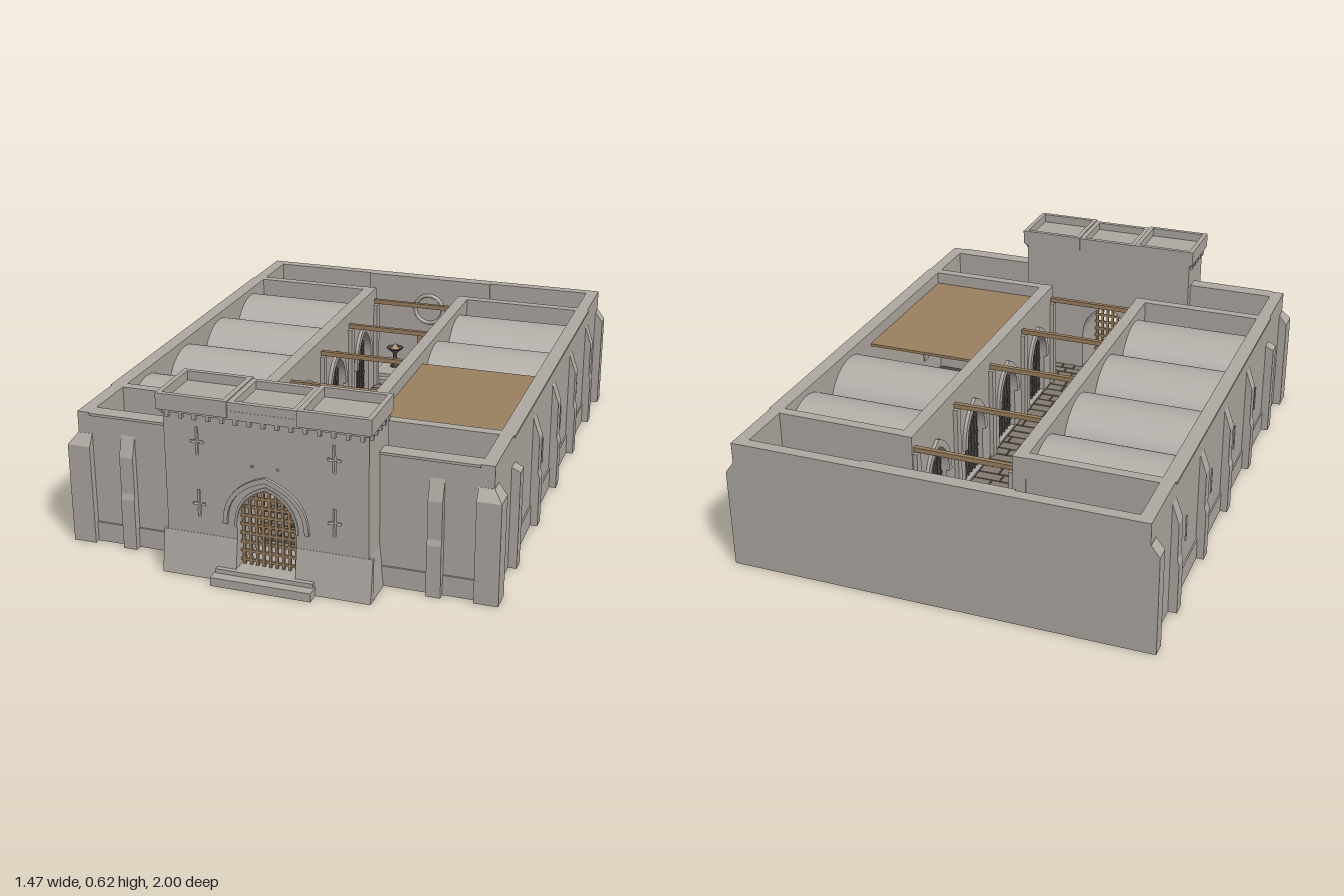
import * as THREE from 'three';
import { mergeGeometries } from 'three/addons/utils/BufferGeometryUtils.js';

const mat = (color, side = THREE.FrontSide) => new THREE.MeshStandardMaterial({ color, side });
const STONE = mat(0xb0aaa3), VAULT = mat(0xb2aea8, THREE.DoubleSide), FLAG = mat(0x847b71), DARK = mat(0x4d4741);
const WOOD = mat(0x9d8160), IRON = mat(0x55504a), PAPER = mat(0xcdbb8c);

let seed = 7;
const rand = () => (seed = (seed * 16807) % 2147483647) / 2147483647;

const boxGeo = (x0, x1, y0, y1, z0, z1) =>
  new THREE.BoxGeometry(x1 - x0, y1 - y0, z1 - z0).translate((x0 + x1) / 2, (y0 + y1) / 2, (z0 + z1) / 2);
const extrude = (shape, depth) => new THREE.ExtrudeGeometry(shape, { depth, bevelEnabled: false });
// Shape drawn in (z, y), extruded between x0 and x1
const extrudeX = (shape, x0, x1) => extrude(shape, x1 - x0).rotateY(-Math.PI / 2).translate(x1, 0, 0);
const poly = (pts) => new THREE.Shape(pts.map((p) => new THREE.Vector2(p[0], p[1])));

// Pointed arch, from right springing over the apex to left springing
function arch(w, spring, apex, cx = 0, n = 10) {
  const right = [];
  for (let i = 0; i <= n; i++) {
    const t = i / n;
    right.push([w * (1 - t * t), spring + (apex - spring) * (1.5 * t - 0.5 * t * t)]);
  }
  const left = right.slice(0, -1).reverse().map(([x, y]) => [-x, y]);
  return [...right, ...left].map(([x, y]) => [x + cx, y]);
}
const archRing = (w, spring, apex, t, cx = 0) =>
  poly([...arch(w + t, spring, apex + t * 1.3, cx), ...arch(w, spring, apex, cx).reverse()]);

// Bars filling a pointed arch, flat in the xy plane
function grille(w, y0, spring, apex, nx, ny, r, cx = 0) {
  const parts = [], h = apex - spring;
  for (let i = 0; i < nx; i++) {
    const x = w * (-1 + (2 * (i + 0.5)) / nx), t = Math.sqrt(1 - Math.abs(x) / w);
    parts.push(boxGeo(cx + x - r, cx + x + r, y0, spring + h * (1.5 * t - 0.5 * t * t), -r, r));
  }
  for (let j = 0; j < ny; j++) {
    const y = y0 + ((apex - y0) * (j + 0.5)) / ny;
    const t = y < spring ? 0 : 1.5 - Math.sqrt(2.25 - (2 * (y - spring)) / h);
    const hw = w * (1 - t * t);
    parts.push(boxGeo(cx - hw, cx + hw, y - r, y + r, -r * 0.8, r * 0.8));
  }
  return mergeGeometries(parts);
}

// Staggered paving stones
function paving(x0, x1, z0, z1, row = 0.036) {
  const parts = [], rows = Math.round((z1 - z0) / row), d = (z1 - z0) / rows, g = 0.003;
  for (let r = 0; r < rows; r++) {
    let x = x0;
    while (x < x1 - 0.005) {
      let e = x + row * (1.2 + 1.4 * rand());
      if (e > x1 - 0.02) e = x1;
      parts.push(boxGeo(x + g, e - g, 0.044, 0.048 + 0.002 * rand(), z0 + r * d + g, z0 + (r + 1) * d - g));
      x = e;
    }
  }
  return mergeGeometries(parts);
}

export function createModel() {
  const root = new THREE.Group();
  const add = (name, geo, material = STONE) => {
    const m = new THREE.Mesh(geo, material);
    m.name = name;
    root.add(m);
    return m;
  };
  const box = (name, material, ...b) => add(name, boxGeo(...b), material);
  const TOP = 0.465, BAYS = [-0.58, -0.255, 0.07, 0.395], PIERS = [-0.745, -0.415, -0.09, 0.235, 0.56];

  // Outer walls, side walls pierced by window slits
  for (const s of [-1, 1]) {
    const wall = poly([[-1, 0], [0.82, 0], [0.82, TOP], [-1, TOP]]);
    const inner = s > 0 ? [0.655, 0.661] : [-0.661, -0.655];
    for (const z of BAYS) {
      wall.holes.push(poly([[z - 0.007, 0.155], [z - 0.007, 0.25], [z + 0.007, 0.25], [z + 0.007, 0.155]]));
      box('slitShutter', STONE, ...inner, 0.14, 0.265, z - 0.02, z + 0.02);
    }
    const x = s > 0 ? [0.66, 0.705] : [-0.705, -0.66];
    add('sideWall', extrudeX(wall, ...x));
    const px = s > 0 ? [0.705, 0.71] : [-0.71, -0.705];
    box('sidePlinth', STONE, ...px, 0, 0.075, -0.74, 0.56);
    box('sideCoping', STONE, ...px, 0.456, TOP, -0.74, 0.57);
    const fx = s > 0 ? [0.32, 0.66] : [-0.66, -0.32];
    box('frontWall', STONE, ...fx, 0, TOP, 0.77, 0.82);
    box('frontPlinth', STONE, ...fx, 0, 0.07, 0.82, 0.826);
    box('frontCoping', STONE, ...fx, 0.456, TOP, 0.82, 0.826);
  }
  box('backWall', STONE, -0.66, 0.66, 0, TOP, -1, -0.96);
  box('backWallCentre', STONE, -0.26, 0.26, 0, TOP, -0.96, -0.952);

  // Buttresses with sloped caps
  const buttress = (x, z, angle, width, flat) => {
    const p = flat
      ? [[-0.01, 0], [0.03, 0], [0.03, 0.345], [0, 0.36], [-0.01, 0.36]]
      : [[-0.01, 0], [0.03, 0], [0.03, 0.18], [0.024, 0.2], [0.024, 0.33], [0, 0.4], [-0.01, 0.4]];
    const m = add('buttress', extrude(poly(p), width).translate(0, 0, -width / 2));
    m.position.set(x, 0, z);
    m.rotation.y = angle;
  };
  // Solid corner piers whose caps slope back to the walls
  const cornerPier = (s, z0, z1) => {
    const x = s > 0 ? [0.655, 0.735] : [-0.735, -0.655];
    box('cornerPier', STONE, ...x, 0, 0.352, z0, z1);
    const cap = boxGeo(...x, 0.352, 0.39, z0, z1), p = cap.attributes.position;
    for (let i = 0; i < p.count; i++) {
      if (p.getY(i) < 0.37) continue;
      p.setX(i, THREE.MathUtils.clamp(p.getX(i), -0.706, 0.706));
      p.setZ(i, Math.min(p.getZ(i), 0.821));
    }
    cap.computeVertexNormals();
    add('cornerPierCap', cap);
  };
  for (const s of [-1, 1]) {
    const a = s > 0 ? 0 : Math.PI;
    for (const z of PIERS) buttress(s * 0.705, z, a, 0.046, z > 0.5);
    buttress(s * 0.525, 0.82, -Math.PI / 2, 0.048, false);
    cornerPier(s, 0.77, 0.846);
    cornerPier(s, -1, -0.948);
  }

  // Floors and paving
  box('floorSlab', DARK, -0.66, 0.66, 0.036, 0.044, 0.56, 0.77);
  box('floorSlab', DARK, -0.66, 0.66, 0.036, 0.044, -0.96, -0.745);
  box('floorSlab', DARK, -0.178, 0.178, 0.036, 0.044, -0.745, 0.56);
  add('frontPaving', paving(-0.66, 0.66, 0.58, 0.77), FLAG);
  add('backPaving', paving(-0.66, -0.235, -0.955, -0.765), FLAG);
  add('backPaving', paving(0.235, 0.66, -0.955, -0.765), FLAG);
  add('corridorPaving', paving(-0.172, 0, -0.745, 0.58, 0.048), FLAG);
  add('corridorPaving', paving(0, 0.172, -0.745, 0.58, 0.048), FLAG);
  box('cellFloor', DARK, -0.66, -0.22, 0.036, 0.044, -0.745, 0.56);
  box('cellFloor', DARK, 0.22, 0.66, 0.036, 0.044, -0.745, -0.1);
  box('cellFloor', DARK, 0.22, 0.66, 0.036, 0.044, -0.08, 0.56);

  // Corridor walls with arched, barred doorways
  for (const s of [-1, 1]) {
    const outline = [[-0.765, 0]];
    for (const z of BAYS)
      outline.push([z - 0.08, 0], ...arch(0.08, 0.2, 0.335, z).reverse(), [z + 0.08, 0]);
    outline.push([0.58, 0], [0.58, TOP], [-0.765, TOP]);
    const x = s > 0 ? [0.175, 0.22] : [-0.22, -0.175];
    add('corridorWall', extrudeX(poly(outline), ...x));
    for (const z of BAYS) {
      const trim = s > 0 ? [0.163, 0.176] : [-0.176, -0.163];
      add('doorArch', extrudeX(archRing(0.08, 0.2, 0.335, 0.022, z), ...trim));
      add('doorBars', grille(0.08, 0.045, 0.2, 0.335, 6, 5, 0.004, z).rotateY(-Math.PI / 2).translate(s * 0.195, 0, 0), IRON);
      box('doorSill', STONE, ...x, 0, 0.05, z - 0.08, z + 0.08);
    }
    for (const z of PIERS) {
      const p = s > 0 ? [0.16, 0.18] : [-0.18, -0.16];
      box('corridorPier', STONE, ...p, 0, 0.4, z - 0.015, z + 0.015);
      const c = s > 0 ? [0.22, 0.66] : [-0.66, -0.22];
      if (z === PIERS[0] || z === PIERS[4]) box('crossWall', STONE, ...c, 0, TOP, z - 0.018, z + 0.018);
      else if (s < 0 || z < -0.2) box('cellPartition', STONE, ...c, 0, 0.28, z - 0.017, z + 0.017);
      else if (z < 0) box('cellPartition', STONE, ...c, 0, 0.28, z - 0.04, z - 0.01);
    }
    // Barrel vaults over the cells
    for (const z of s < 0 ? BAYS : BAYS.slice(0, 2)) {
      const g = new THREE.CylinderGeometry(0.16, 0.16, 0.44, 40, 1, true, 0, Math.PI).rotateZ(Math.PI / 2);
      add('barrelVault', g.translate(s * 0.44, 0.28, z), VAULT);
    }
  }
  box('timberDeck', WOOD, 0.22, 0.66, 0.41, 0.42, -0.08, 0.545);
  for (const z of PIERS) {
    box('tieBeam', WOOD, -0.18, 0.18, 0.405, 0.422, z - 0.008, z + 0.008);
    box('foundationBeam', STONE, -0.18, 0.18, 0, 0.036, z - 0.018, z + 0.018);
  }

  // Gatehouse body with a pointed passage; the facing layer has cross-shaped loops cut into it
  const bodyShape = () => poly([[0.1, 0], [0.355, 0], [0.34, 0.145], [0.34, 0.565], [-0.34, 0.565], [-0.34, 0.145],
    [-0.355, 0], [-0.1, 0], ...arch(0.1, 0.19, 0.33).reverse()]);
  add('gatehouse', extrude(bodyShape(), 0.18).translate(0, 0, 0.735));
  const facing = bodyShape(), a = 0.005, b = 0.022;
  for (const s of [-1, 1]) for (const y of [0.25, 0.465])
    facing.holes.push(poly([[-a, -0.045], [a, -0.045], [a, -a], [b, -a], [b, a], [a, a], [a, 0.05], [-a, 0.05],
      [-a, a], [-b, a], [-b, -a], [-a, -a]].map(([px, py]) => [px + s * 0.228, py + y])));
  add('gatehouseFacing', extrude(facing, 0.015).translate(0, 0, 0.915));
  for (const s of [-1, 1]) {
    const x = s > 0 ? [0.1, 0.354] : [-0.354, -0.1];
    add('gatehouseBatter', extrudeX(poly([[0.92, 0], [0.957, 0], [0.931, 0.145], [0.92, 0.145]]), ...x));
    box('stud', STONE, s * 0.042 - 0.004, s * 0.042 + 0.004, 0.403, 0.41, 0.925, 0.934);
    box('archCorbel', STONE, s * 0.138 - 0.008, s * 0.138 + 0.008, 0.197, 0.204, 0.925, 0.941);
  }
  add('hoodMould', extrude(archRing(0.13, 0.2, 0.357, 0.014), 0.016).translate(0, 0, 0.925));
  add('doorMould', extrude(archRing(0.1, 0.19, 0.33, 0.008), 0.008).translate(0, 0, 0.926));
  add('portcullis', grille(0.1, 0.045, 0.19, 0.33, 9, 9, 0.0045).translate(0, 0, 0.9), WOOD);
  box('threshold', STONE, -0.165, 0.165, 0, 0.045, 0.735, 0.965);
  box('doorStep', STONE, -0.17, 0.17, 0, 0.03, 0.93, 1);

  // Crown: corbels, slab and three parapet trays
  for (let i = -7; i <= 7; i++)
    box('corbel', STONE, i * 0.046 - 0.006, i * 0.046 + 0.006, 0.543, 0.561, 0.925, 0.943);
  for (const s of [-1, 1]) for (let i = 0; i < 5; i++) {
    const x = s * 0.343, z = 0.755 + i * 0.04;
    box('corbel', STONE, x - 0.007, x + 0.007, 0.543, 0.561, z - 0.006, z + 0.006);
  }
  box('crownCornice', STONE, -0.347, 0.347, 0.56, 0.57, 0.73, 0.943);
  box('crownSlab', STONE, -0.352, 0.352, 0.568, 0.59, 0.73, 0.945);
  const tray = (x0, x1, z0, z1, top, t) => {
    box('parapet', STONE, x0, x1, 0.568, top, z1 - t, z1);
    box('parapet', STONE, x0, x1, 0.568, top, z0, z0 + t);
    box('parapet', STONE, x0, x0 + t, 0.568, top, z0 + t, z1 - t);
    box('parapet', STONE, x1 - t, x1, 0.568, top, z0 + t, z1 - t);
  };
  tray(-0.355, -0.115, 0.725, 0.95, 0.622, 0.017);
  tray(0.115, 0.355, 0.725, 0.95, 0.622, 0.017);
  tray(-0.115, 0.115, 0.73, 0.944, 0.618, 0.018);

  // Rear dais with a high seat, fire bowls and wall roundel
  box('dais', STONE, -0.235, 0.235, 0.036, 0.065, -0.955, -0.76);
  box('daisStep', STONE, -0.19, 0.19, 0.065, 0.08, -0.955, -0.79);
  box('seat', IRON, -0.04, 0.04, 0.08, 0.13, -0.93, -0.88);
  box('seatCushion', STONE, -0.03, 0.03, 0.13, 0.136, -0.925, -0.885);
  box('seatBack', WOOD, -0.045, 0.045, 0.08, 0.23, -0.945, -0.93);
  box('lectern', STONE, -0.025, 0.025, 0.08, 0.12, -0.85, -0.825);
  add('roundel', new THREE.TorusGeometry(0.06, 0.008, 8, 32).translate(0, 0.33, -0.952));
  for (const s of [-1, 1]) {
    const bowl = [[0, 0], [0.02, 0], [0.008, 0.015], [0.008, 0.06], [0.036, 0.085], [0.03, 0.085], [0, 0.07]];
    add('fireBowl', new THREE.LatheGeometry(bowl.map((p) => new THREE.Vector2(...p)), 16).translate(s * 0.13, 0.08, -0.89), IRON);
    add('embers', new THREE.ConeGeometry(0.024, 0.03, 8).translate(s * 0.13, 0.17, -0.89), WOOD);
    box('wallNiche', STONE, s * 0.45 - 0.035, s * 0.45 + 0.035, 0.33, 0.37, -0.962, -0.952);
  }

  // Loose furnishings
  for (const [x, z] of [[0.54, -0.92], [0.59, -0.925], [0.565, -0.88]])
    add('barrel', new THREE.CylinderGeometry(0.017, 0.017, 0.05, 14).translate(x, 0.073, z), WOOD);
  box('chest', IRON, 0.415, 0.485, 0.044, 0.085, -0.95, -0.91);
  for (const x of [-0.5, -0.455, -0.415]) box('straw', PAPER, x - 0.02, x + 0.02, 0.044, 0.057, -0.925, -0.9);
  box('straw', PAPER, -0.575, -0.553, 0.044, 0.057, -0.87, -0.815);
  for (let i = 0; i < 5; i++) box('tablePlank', WOOD, 0.32, 0.425, 0.1, 0.11, 0.61 + i * 0.021, 0.629 + i * 0.021);
  for (const x of [0.33, 0.405]) for (const z of [0.62, 0.695]) box('tableLeg', WOOD, x, x + 0.01, 0.044, 0.101, z, z + 0.01);
  const urn = [[0, 0], [0.018, 0], [0.03, 0.03], [0.015, 0.06], [0.02, 0.07], [0.012, 0.068], [0, 0.03]];
  add('urn', new THREE.LatheGeometry(urn.map((p) => new THREE.Vector2(...p)), 18).translate(0.54, 0.048, 0.645), STONE);
  box('bench', WOOD, -0.32, -0.2, 0.048, 0.07, 0.685, 0.7);
  return root;
}
